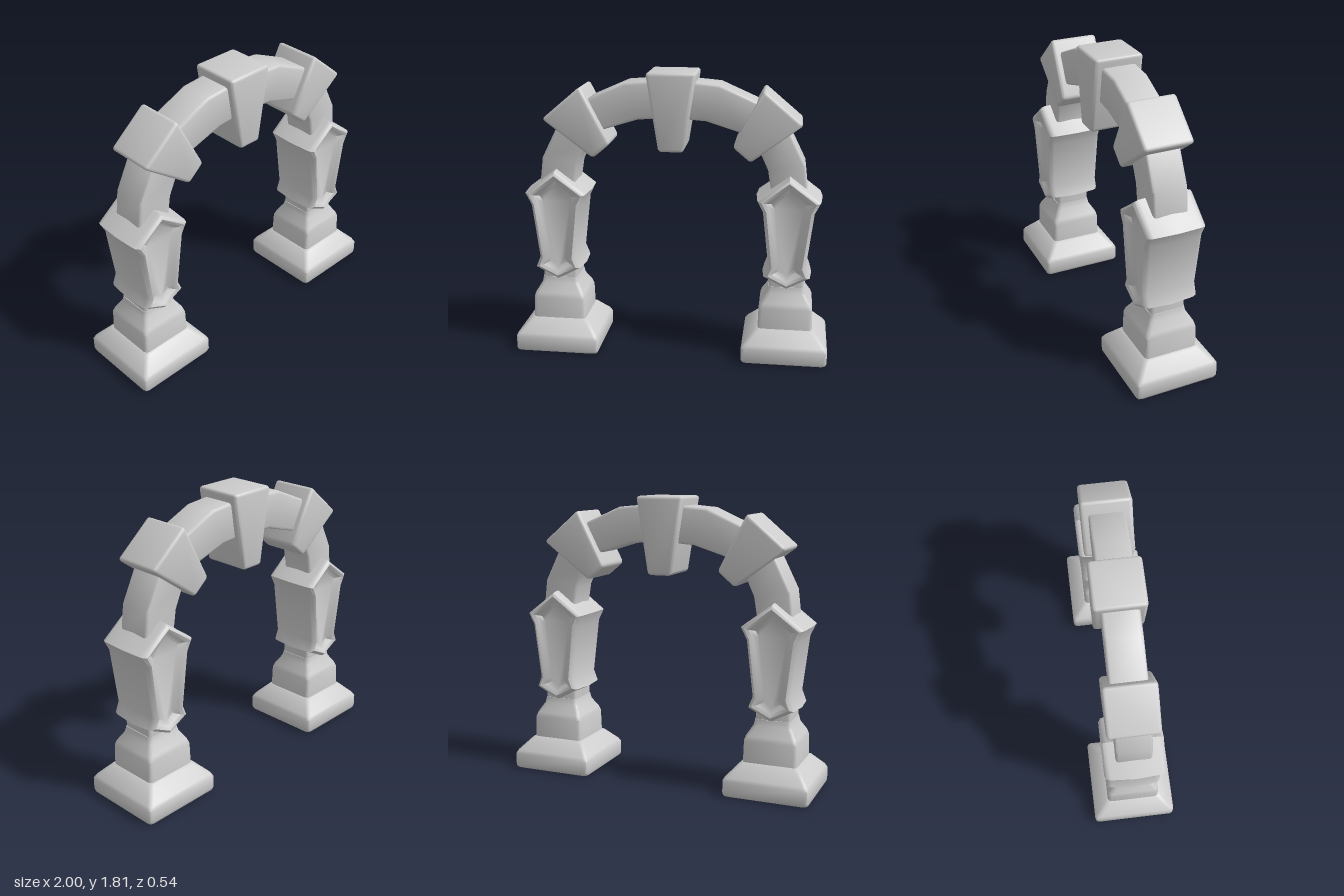
import * as THREE from 'three';
import { toCreasedNormals } from 'three/addons/utils/BufferGeometryUtils.js';
import { RoundedBoxGeometry } from 'three/addons/geometries/RoundedBoxGeometry.js';

const stone = new THREE.MeshStandardMaterial({ color: 0xcccccc });
const V2 = (x, y) => new THREE.Vector2(x, y);
const V3 = (x, y, z) => new THREE.Vector3(x, y, z);

function addMesh(parent, name, geometry) {
  const mesh = new THREE.Mesh(toCreasedNormals(geometry, 0.8), stone);
  mesh.name = name;
  parent.add(mesh);
  return mesh;
}

// Skin a list of equal-length rings; cap is the 2D outline used to close both ends
function loft(rings, cap) {
  const n = rings[0].length, last = (rings.length - 1) * n, index = [];
  for (let i = 0; i < rings.length - 1; i++) {
    for (let j = 0; j < n; j++) {
      const a = i * n + j, b = i * n + (j + 1) % n;
      index.push(a, b, b + n, a, b + n, a + n);
    }
  }
  for (const [a, b, c] of THREE.ShapeUtils.triangulateShape(cap, [])) {
    index.push(a, c, b, last + a, last + b, last + c);
  }
  const geometry = new THREE.BufferGeometry().setFromPoints(rings.flat());
  geometry.setIndex(index);
  geometry.computeVertexNormals();
  return geometry;
}

// Rectangle with rounded corners, counter-clockwise
function roundedRect(hw, hh, r) {
  const points = [];
  [[1, 1], [-1, 1], [-1, -1], [1, -1]].forEach(([sx, sy], corner) => {
    for (let k = 0; k < 3; k++) {
      const a = (corner + k / 2) * Math.PI / 2;
      points.push(V2(sx * (hw - r) + r * Math.cos(a), sy * (hh - r) + r * Math.sin(a)));
    }
  });
  return points;
}

// Move every side of a counter-clockwise outline inwards by d
function inset(outline, d) {
  const n = outline.length;
  return outline.map((p, i) => {
    const e1 = p.clone().sub(outline[(i + n - 1) % n]).normalize();
    const e2 = outline[(i + 1) % n].clone().sub(p).normalize();
    const n1 = V2(-e1.y, e1.x), n2 = V2(-e2.y, e2.x);
    return p.clone().addScaledVector(n1.clone().add(n2), d / (1 + n1.dot(n2)));
  });
}

// Square stack: profile of [half width, height]
function squareStack(profile) {
  const rings = profile.map(([h, y]) => roundedRect(h, h, 0.025).map(p => V3(p.x, y, -p.y)));
  return loft(rings, roundedRect(1, 1, 0.1));
}

// Pointed panel with a raised rim and sunken face, front and back
function shieldGeometry() {
  const right = [[0.155, 0.545], [0.125, 0.62], [0.165, 0.965], [0.205, 1.045]];
  const outline = [
    V2(0, 0.465), ...right.map(([x, y]) => V2(x, y)),
    V2(0, 1.2), ...right.reverse().map(([x, y]) => V2(-x, y)),
  ];
  const half = [[0, 0], [0.008, 0.145], [0.014, 0.168], [0.03, 0.18], [0.05, 0.168], [0.078, 0.14]];
  const steps = [...half.slice(1).reverse().map(([d, z]) => [d, -z]), ...half];
  const rings = steps.map(([d, z]) =>
    inset(outline, d).map(p => V3(p.x, p.y, z * (1 + (p.y - 0.83) * 0.12))));
  return loft(rings, inset(outline, 0.078));
}

// Rectangular band following outer and inner points over the arch
function archGeometry() {
  const side = [
    [0.84, 0.42, 0.62, 0.42], [0.84, 1.1, 0.615, 1.1], [0.82, 1.26, 0.595, 1.22],
    [0.72, 1.46, 0.54, 1.34], [0.54, 1.63, 0.42, 1.45], [0.29, 1.74, 0.21, 1.515],
  ];
  const pairs = [...side, [0, 1.765, 0, 1.53],
    ...side.slice().reverse().map(([ox, oy, ix, iy]) => [-ox, oy, -ix, iy])];
  const section = roundedRect(0.113, 0.11, 0.018);
  const rings = pairs.map(([ox, oy, ix, iy]) => {
    const outer = V3(ox, oy, 0), inner = V3(ix, iy, 0);
    return section.map(p => {
      const v = inner.clone().lerp(outer, 0.5 + p.x / 0.226);
      v.z = -p.y;
      return v;
    });
  });
  return loft(rings, section);
}

// Block that narrows towards the bottom
function wedgeGeometry(top, bottom, height) {
  const geometry = new RoundedBoxGeometry(2, height, 0.31, 2, 0.022);
  const pos = geometry.attributes.position;
  for (let i = 0; i < pos.count; i++) {
    const half = THREE.MathUtils.lerp(bottom, top, pos.getY(i) / height + 0.5);
    const x = pos.getX(i), edge = Math.abs(x) - 1;
    pos.setX(i, Math.sign(x) * (half + edge));
  }
  return geometry;
}

export function createModel() {
  const model = new THREE.Group();
  model.name = 'stoneArch';

  // Pillars
  for (const [side, s] of [['left', 1], ['right', -1]]) {
    const pillar = new THREE.Group();
    pillar.name = side + 'Pillar';
    pillar.position.x = s * 0.73;
    model.add(pillar);
    addMesh(pillar, 'foot', squareStack(
      [[0.252, 0], [0.265, 0.007], [0.27, 0.022], [0.27, 0.1], [0.258, 0.122], [0.185, 0.2], [0.165, 0.21]]));
    addMesh(pillar, 'plinth', squareStack(
      [[0.172, 0.19], [0.168, 0.34], [0.158, 0.37], [0.122, 0.43], [0.114, 0.47]]));
    addMesh(pillar, 'shieldPanel', shieldGeometry());
  }

  // Curved band
  addMesh(model, 'archBand', archGeometry());

  // Wedge stones
  addMesh(model, 'keystone', wedgeGeometry(0.155, 0.078, 0.485)).position.y = 1.5675;
  for (const [side, s] of [['left', 1], ['right', -1]]) {
    const block = addMesh(model, side + 'WedgeStone', wedgeGeometry(0.16, 0.072, 0.385));
    block.position.set(s * 0.557, 1.468, 0);
    block.rotation.z = -s * 0.7;
  }
  return model;
}
